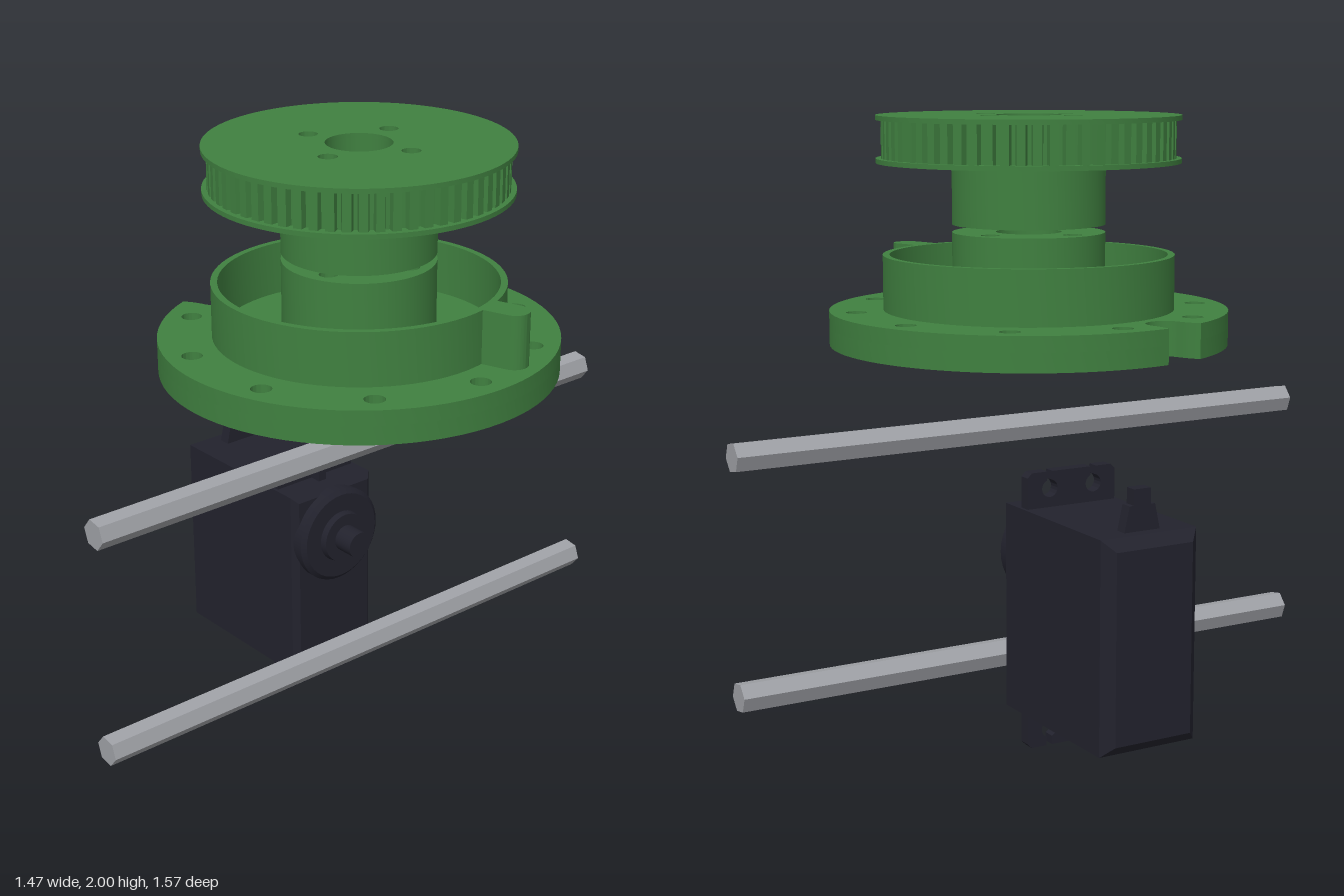
import * as THREE from 'three';
import { toCreasedNormals } from 'three/addons/utils/BufferGeometryUtils.js';

const rad = THREE.MathUtils.degToRad;

export function createModel() {
  const model = new THREE.Group();
  const green = new THREE.MeshStandardMaterial({ color: 0x408040 });
  green.name = 'green plastic';
  const black = new THREE.MeshStandardMaterial({ color: 0x22222d });
  black.name = 'black plastic';
  const steel = new THREE.MeshStandardMaterial({ color: 0x9fa1a6 });
  steel.name = 'steel';

  function add(parent, name, geometry, material) {
    const mesh = new THREE.Mesh(geometry, material);
    mesh.name = name;
    parent.add(mesh);
    return mesh;
  }
  const extrude = (shape, depth) => toCreasedNormals(
    new THREE.ExtrudeGeometry(shape, { depth, bevelEnabled: false, curveSegments: 40 }), 0.4);

  // Horizontal slab between two heights; the shape's y axis points to -z
  function slab(parent, name, shape, y0, y1) {
    const g = extrude(shape, y1 - y0).rotateX(-Math.PI / 2).translate(0, y0, 0);
    return add(parent, name, g, green);
  }
  function drill(shape, x, y, r) {
    shape.holes.push(new THREE.Path().absarc(x, y, r, 0, Math.PI * 2, true));
  }
  function drillCircle(shape, count, start, ringR, r) {
    for (let i = 0; i < count; i++) {
      const a = rad(start + (360 / count) * i);
      drill(shape, ringR * Math.cos(a), ringR * Math.sin(a), r);
    }
  }
  const disc = (r) => new THREE.Shape().absarc(0, 0, r, 0, Math.PI * 2, false);
  function annulus(r, inner) {
    const s = disc(r);
    drill(s, 0, 0, inner);
    return s;
  }
  // Centre bore and four screw holes shared by the hub and pulley
  function bored(shape, screwR = 0.03) {
    drill(shape, 0, 0, 0.105);
    drillCircle(shape, 4, 66, 0.183, screwR);
    return shape;
  }

  // Base disc with a flared, round-bottomed notch in the rim
  function baseShape(screwR) {
    const mid = rad(154.8), half = rad(7);
    const s = new THREE.Shape();
    const at = (r, t) => [r * Math.cos(mid) - t * Math.sin(mid), r * Math.sin(mid) + t * Math.cos(mid)];
    s.absarc(0, 0, 0.64, mid + half, mid - half + Math.PI * 2, false);
    s.quadraticCurveTo(...at(0.6, -0.0625), ...at(0.5625, -0.0625));
    for (let i = 1; i <= 16; i++) {
      const q = -Math.PI / 2 + (Math.PI * i) / 16;
      s.lineTo(...at(0.5625 - 0.0625 * Math.cos(q), 0.0625 * Math.sin(q)));
    }
    s.quadraticCurveTo(...at(0.6, 0.0625), ...at(0.6353, 0.078));
    drillCircle(s, 10, -6.7, 0.557, 0.033);
    return bored(s, screwR);
  }

  const base = new THREE.Group();
  base.name = 'turntableBase';
  model.add(base);
  slab(base, 'counterboredUnderside', baseShape(0.065), 1.275, 1.335);
  slab(base, 'baseDisc', baseShape(0.03), 1.335, 1.385);
  slab(base, 'outerWall', annulus(0.467, 0.445), 1.385, 1.56);
  slab(base, 'centreHub', bored(disc(0.245)), 1.385, 1.63);

  // Stop lug on the outside of the wall
  const lug = new THREE.Shape();
  lug.moveTo(0.455, -0.047);
  lug.lineTo(0.55, -0.047);
  lug.absarc(0.55, 0, 0.047, -Math.PI / 2, Math.PI / 2, false);
  lug.lineTo(0.455, 0.047);
  slab(base, 'stopLug', lug, 1.385, 1.56).rotation.y = rad(-24.7);

  // Toothed belt pulley with flanges and shaft
  const pulley = new THREE.Group();
  pulley.name = 'beltPulley';
  model.add(pulley);
  const teeth = new THREE.Shape();
  const toothCount = 60;
  for (let i = 0; i < toothCount; i++) {
    [[0, 0.445], [0.1, 0.468], [0.65, 0.468], [0.75, 0.445]].forEach(([f, r], k) => {
      const a = ((i + f) / toothCount) * Math.PI * 2;
      teeth[i + k === 0 ? 'moveTo' : 'lineTo'](r * Math.cos(a), r * Math.sin(a));
    });
  }
  slab(pulley, 'pulleyShaft', bored(disc(0.245)), 1.655, 1.865);
  slab(pulley, 'lowerFlange', annulus(0.485, 0.34), 1.85, 1.865);
  slab(pulley, 'pulleyTeeth', bored(teeth), 1.865, 1.985);
  slab(pulley, 'upperFlange', bored(disc(0.485)), 1.985, 2.0);

  // Rods and servo share one diagonal frame: z runs along the rods
  const diagonal = new THREE.Group();
  diagonal.name = 'rodsAndServo';
  diagonal.rotation.y = rad(-42.9);
  model.add(diagonal);

  // Hexagonal rods
  const hex = new THREE.Shape();
  for (let i = 0; i < 6; i++) {
    const a = rad(50 + 60 * i);
    hex[i ? 'lineTo' : 'moveTo'](0.049 * Math.cos(a), 0.049 * Math.sin(a));
  }
  for (const [name, y] of [['upperRod', 0.998], ['lowerRod', 0.245]]) {
    add(diagonal, name, extrude(hex, 2.06).translate(0, y, -1.03), steel);
  }

  // Servo: its shaft points along local +x
  const servo = new THREE.Group();
  servo.name = 'servo';
  diagonal.add(servo);

  // Body with chamfered front and back edges
  const backX = -0.747, frontX = -0.13, backCut = 0.035, frontCut = 0.02;
  let body = new THREE.BoxGeometry(3, 0.67, 0.34, 3, 1, 1);
  const p = body.attributes.position;
  const stations = [backX, backX + backCut, frontX - frontCut, frontX];
  const insets = [backCut, 0, 0, frontCut];
  for (let i = 0; i < p.count; i++) {
    const k = Math.round(p.getX(i) + 1.5);
    const y = p.getY(i), z = p.getZ(i);
    p.setXYZ(i, stations[k], y - Math.sign(y) * insets[k], z - Math.sign(z) * insets[k]);
  }
  body = body.toNonIndexed();
  body.computeVertexNormals();
  add(servo, 'servoBody', body.translate(0, 0.455, 0), black);

  // Stepped gear cover and output shaft
  const round = (name, r0, r1, x0, x1) => {
    const g = new THREE.CylinderGeometry(r1, r0, x1 - x0, 40).rotateZ(-Math.PI / 2);
    add(servo, name, g.translate((x0 + x1) / 2, 0.62, 0), black);
  };
  round('gearCover', 0.165, 0.165, -0.15, -0.105);
  round('gearCoverEdge', 0.165, 0.15, -0.105, -0.092);
  round('shaftCollar', 0.09, 0.085, -0.095, -0.07);
  round('outputShaft', 0.045, 0.045, -0.08, 0.005);

  // Mounting ears with open screw slots
  const ear = new THREE.Shape();
  ear.moveTo(-0.16, -0.01);
  ear.lineTo(0.16, -0.01);
  ear.lineTo(0.16, 0.1);
  ear.lineTo(0.145, 0.115);
  for (const c of [0.08, -0.08]) {
    ear.lineTo(c + 0.01, 0.115);
    ear.absarc(c, 0.06, 0.028, rad(70), rad(110), true);
    ear.lineTo(c - 0.01, 0.115);
  }
  ear.lineTo(-0.145, 0.115);
  ear.lineTo(-0.16, 0.1);
  for (const [side, y, turn] of [['upper', 0.79, 0], ['lower', 0.12, Math.PI]]) {
    const ears = new THREE.Group();
    ears.name = side + 'MountingEar';
    ears.position.set(-0.27, y, 0);
    ears.rotation.x = turn;
    servo.add(ears);
    add(ears, 'earPlate', extrude(ear, 0.04).rotateY(Math.PI / 2), black);
    add(ears, 'earRib', new THREE.BoxGeometry(0.05, 0.06, 0.03).translate(0.055, 0.02, 0), black);
  }

  // Cable strain relief on top at the back
  const relief = new THREE.Shape();
  [[-0.065, 0.78], [0.065, 0.78], [0.045, 0.87], [0.03, 0.87], [0.03, 0.92],
    [-0.03, 0.92], [-0.03, 0.87], [-0.045, 0.87]].forEach(([z, y], i) => relief[i ? 'lineTo' : 'moveTo'](z, y));
  add(servo, 'cableStrainRelief', extrude(relief, 0.04).rotateY(Math.PI / 2).translate(-0.675, 0, 0), black);

  return model;
}
